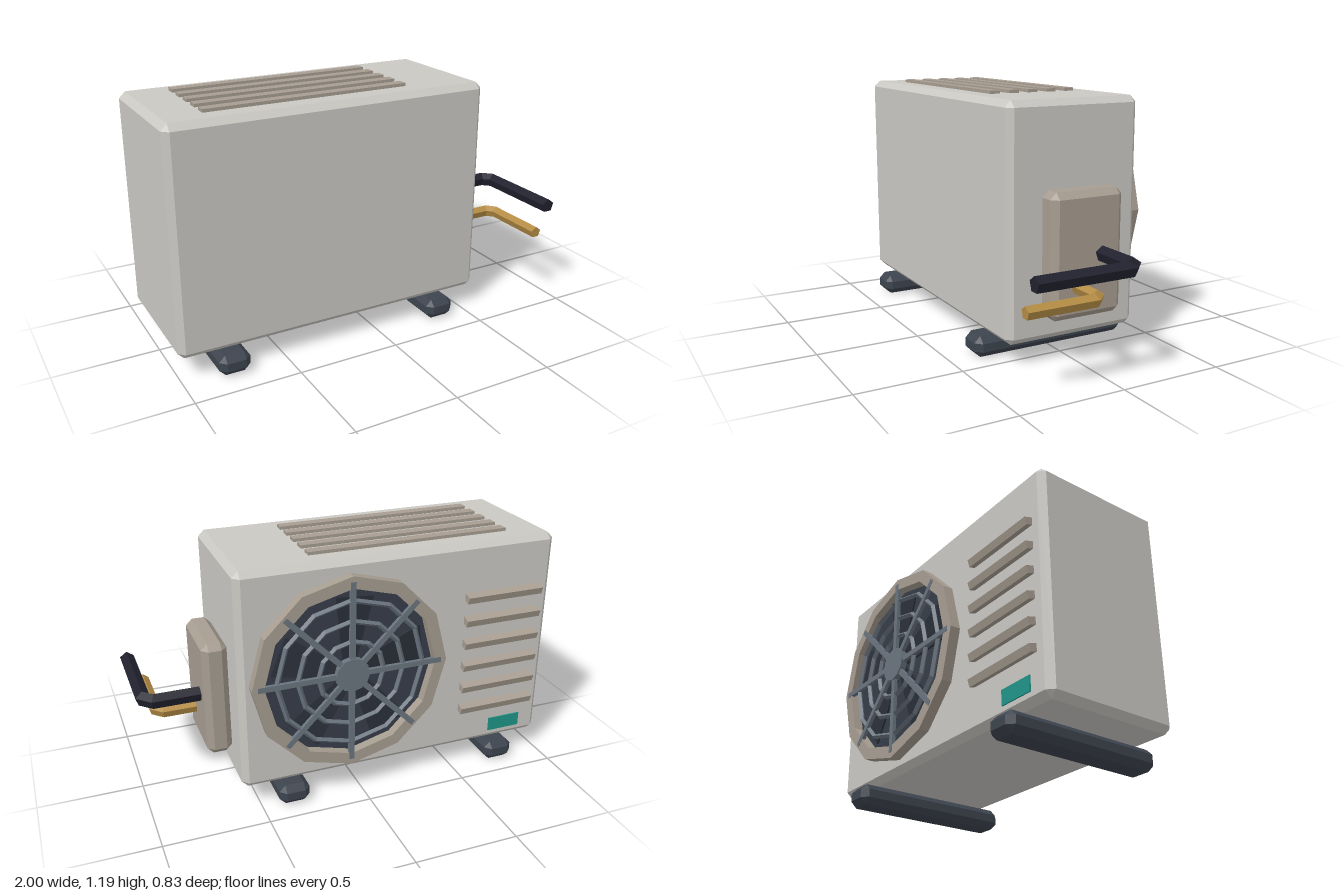
import * as THREE from 'three';
import { ConvexGeometry } from 'three/addons/geometries/ConvexGeometry.js';

const mat = (name, color, side = THREE.FrontSide) => {
  const m = new THREE.MeshStandardMaterial({ color, flatShading: true, side });
  m.name = name;
  return m;
};

// Box from min to max corner with all edges cut at 45 degrees
function chamferBox(min, max, c) {
  const mid = min.map((v, i) => (v + max[i]) / 2);
  const half = min.map((v, i) => (max[i] - v) / 2);
  const pts = [];
  for (const sx of [-1, 1]) for (const sy of [-1, 1]) for (const sz of [-1, 1]) {
    const s = [sx, sy, sz];
    for (let full = 0; full < 3; full++) {
      pts.push(new THREE.Vector3(...s.map((v, i) => mid[i] + v * (half[i] - (i === full ? 0 : c)))));
    }
  }
  return new ConvexGeometry(pts);
}

// Five-sided pipe along a level path of [x, z] points, mitred at the bends
function pipe(path, y, r) {
  const n = 5, pos = [], idx = [];
  path.forEach(([x, z], i) => {
    const dir = (a, b) => new THREE.Vector2(b[0] - a[0], b[1] - a[1]).normalize();
    const d0 = i > 0 ? dir(path[i - 1], path[i]) : dir(path[0], path[1]);
    const d1 = i < path.length - 1 ? dir(path[i], path[i + 1]) : d0;
    const t = d0.clone().add(d1).normalize();
    const widen = 1 / t.dot(d0);
    for (let k = 0; k < n; k++) {
      const a = (k / n) * Math.PI * 2;
      const w = Math.sin(a) * r * widen;
      pos.push(x - t.y * w, y + Math.cos(a) * r, z + t.x * w);
    }
  });
  for (let i = 0; i < path.length - 1; i++) for (let k = 0; k < n; k++) {
    const a = i * n + k, b = i * n + (k + 1) % n;
    idx.push(a, a + n, b, b, a + n, b + n);
  }
  const e = (path.length - 1) * n;
  for (let k = 1; k < n - 1; k++) idx.push(0, k, k + 1, e, e + k + 1, e + k);
  const g = new THREE.BufferGeometry();
  g.setAttribute('position', new THREE.Float32BufferAttribute(pos, 3));
  g.setIndex(idx);
  g.computeVertexNormals();
  return g;
}

const polygon = (Type, r, n) => new Type(Array.from({ length: n }, (_, i) => {
  const a = (i / n) * Math.PI * 2;
  return new THREE.Vector2(Math.cos(a) * r, Math.sin(a) * r);
}));

export function createModel() {
  const root = new THREE.Group();
  root.name = 'outdoorUnit';
  const casing = mat('casing grey', 0xcac8c3);
  const trim = mat('warm trim', 0xa79d91);
  const rubber = mat('dark feet', 0x3d444e);
  const dark = mat('fan recess', 0x363d49);
  const blade = mat('fan blade', 0x2b303a);
  const wire = mat('grille steel', 0x6a747f);
  const foam = mat('pipe insulation', 0x20212d, THREE.DoubleSide);
  const brass = mat('brass', 0xb48c45, THREE.DoubleSide);
  const teal = mat('teal label', 0x1f9488);

  const add = (name, geometry, material, parent = root, x = 0, y = 0, z = 0) => {
    const m = new THREE.Mesh(geometry, material);
    m.name = name;
    m.position.set(x, y, z);
    parent.add(m);
    return m;
  };

  // Casing, feet and service cover
  add('casing', chamferBox([-1, 0.1, -0.355], [0.582, 1.175, 0.32], 0.03), casing);
  for (const x of [-0.76, 0.343]) {
    add('foot', chamferBox([x - 0.075, 0, -0.417], [x + 0.075, 0.1, 0.386], 0.03), rubber);
  }
  add('serviceCover', chamferBox([0.582, 0.22, -0.2], [0.702, 0.79, 0.167], 0.03), trim);

  // Pipes
  add('insulatedPipe', pipe([[0.68, -0.085], [0.918, -0.085], [0.963, -0.04], [0.963, 0.417]], 0.504, 0.036), foam);
  add('brassPipe', pipe([[0.68, 0.045], [0.855, 0.045], [0.895, 0.085], [0.895, 0.417]], 0.37, 0.03), brass);

  // Top ribs
  for (let i = 0; i < 5; i++) {
    add('topRib', new THREE.BoxGeometry(1, 0.03, 0.05), trim, root, -0.29, 1.175, -0.22 + i * 0.1);
  }

  // Rear louvres
  for (let i = 0; i < 6; i++) {
    const louvre = add('louvre', new THREE.BoxGeometry(0.4, 0.035, 0.05), trim, root, -0.732, 0.32 + i * 0.118, -0.366);
    louvre.rotation.x = -0.3;
  }
  add('label', new THREE.BoxGeometry(0.175, 0.07, 0.008), teal, root, -0.802, 0.187, -0.357);

  // Fan assembly, turned so its own +z points to the rear
  const fan = new THREE.Group();
  fan.name = 'fan';
  fan.position.set(0.058, 0.635, -0.355);
  fan.rotation.y = Math.PI;
  root.add(fan);

  const rim = polygon(THREE.Shape, 0.478, 12);
  rim.holes.push(polygon(THREE.Path, 0.42, 12));
  add('fanRim', new THREE.ExtrudeGeometry(rim, { depth: 0.05, bevelEnabled: false }), trim, fan);
  add('fanRecess', new THREE.CircleGeometry(0.43, 12), dark, fan, 0, 0, 0.004);

  // Blades
  const wedge = new THREE.Shape([[0.06, -0.03], [0.36, -0.11], [0.38, 0.08], [0.06, 0.04]]
    .map(p => new THREE.Vector2(...p)));
  for (let i = 0; i < 5; i++) {
    const holder = new THREE.Group();
    holder.name = 'blade';
    holder.rotation.z = (i / 5) * Math.PI * 2 + 0.3;
    fan.add(holder);
    const b = add('bladePlate', new THREE.ExtrudeGeometry(wedge, { depth: 0.008, bevelEnabled: false }), blade, holder, 0, 0, 0.014);
    b.rotation.x = 0.1;
  }

  // Grille rings, spokes and hub
  for (const r of [0.16, 0.26, 0.36]) {
    add('grilleRing', new THREE.TorusGeometry(r, 0.013, 4, 12), wire, fan, 0, 0, 0.036);
  }
  for (let i = 0; i < 4; i++) {
    const s = add('grilleSpokes', new THREE.BoxGeometry(0.9, 0.026, 0.018), wire, fan, 0, 0, 0.043);
    s.rotation.z = (i / 4) * Math.PI;
  }
  const hub = add('grilleHub', new THREE.CylinderGeometry(0.083, 0.083, 0.03, 12), wire, fan, 0, 0, 0.043);
  hub.rotation.x = Math.PI / 2;

  return root;
}
